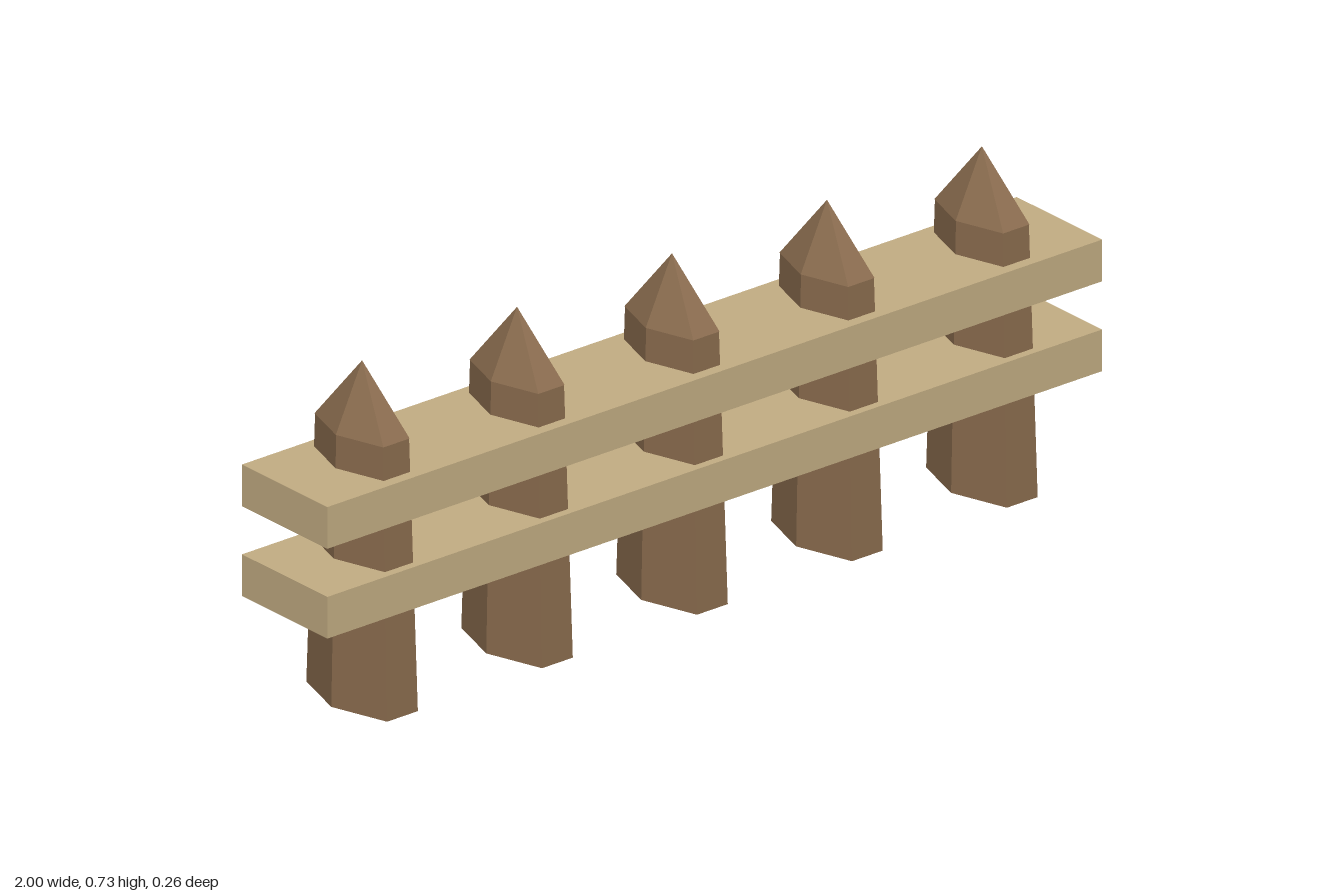
import * as THREE from 'three';

const postWood = new THREE.MeshStandardMaterial({ name: 'dark post wood', color: 0x8a6c4e });
const railWood = new THREE.MeshStandardMaterial({ name: 'pale rail wood', color: 0xc4ae84 });

const POST_HEIGHT = 0.59;
const TIP_HEIGHT = 0.143;
const DEPTH = 1.82; // the hexagonal posts are stretched front to back

// Six-sided tapered prism standing on y, with corners pointing along x
function hexPrism(topRadius, bottomRadius, y, height) {
  const geometry = new THREE.CylinderGeometry(topRadius, bottomRadius, height, 6, 1, false, Math.PI / 6);
  geometry.translate(0, y + height / 2, 0);
  geometry.scale(1, 1, DEPTH);
  const flat = geometry.toNonIndexed();
  flat.computeVertexNormals();
  return flat;
}

function addMesh(parent, name, geometry, material) {
  const mesh = new THREE.Mesh(geometry, material);
  mesh.name = name;
  parent.add(mesh);
  return mesh;
}

export function createModel() {
  const fence = new THREE.Group();
  fence.name = 'fence';

  // Five tapered posts with pointed tips
  const shaft = hexPrism(0.067, 0.0795, 0, POST_HEIGHT);
  const tip = new THREE.ConeGeometry(0.0678, TIP_HEIGHT, 6, 1, true, Math.PI / 6);
  tip.translate(0, POST_HEIGHT + TIP_HEIGHT / 2, 0);
  tip.scale(1, 1, DEPTH);
  const flatTip = tip.toNonIndexed();
  flatTip.computeVertexNormals();
  for (let i = -2; i <= 2; i++) {
    const post = new THREE.Group();
    post.name = `post${i + 3}`;
    post.position.x = i * 0.4;
    addMesh(post, 'postShaft', shaft, postWood);
    addMesh(post, 'postTip', flatTip, postWood);
    fence.add(post);
  }

  // Two broad rails running through the posts
  const rail = new THREE.BoxGeometry(2, 0.091, 0.265);
  addMesh(fence, 'lowerRail', rail, railWood).position.y = 0.276;
  addMesh(fence, 'upperRail', rail, railWood).position.y = 0.472;

  return fence;
}
